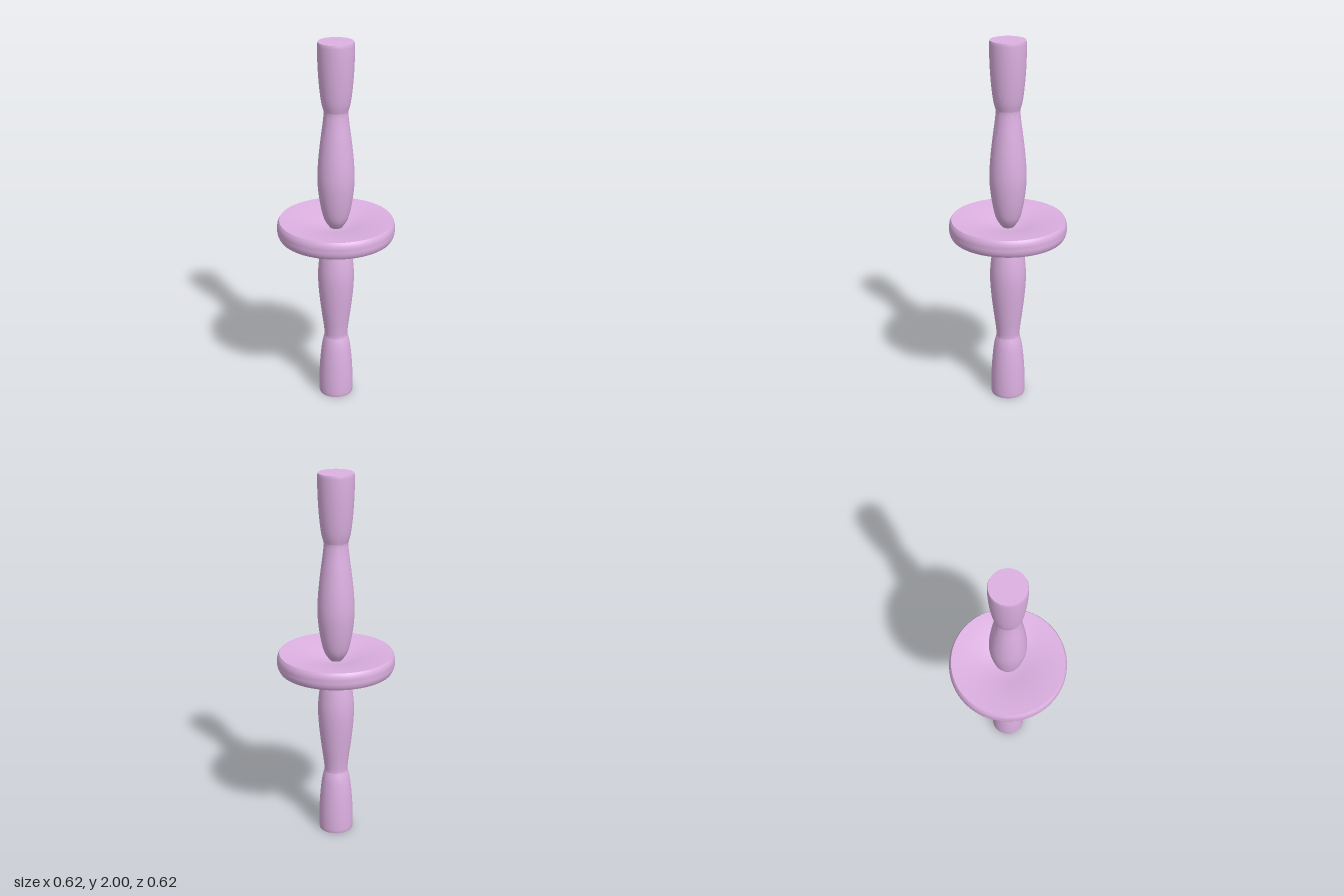
import * as THREE from 'three';
import { toCreasedNormals } from 'three/addons/utils/BufferGeometryUtils.js';

const v = (x, y) => new THREE.Vector2(x, y);

// Smooth run of profile points, given as [radius, height]
function run(points, steps) {
  return new THREE.SplineCurve(points.map(([r, y]) => v(r, y))).getPoints(steps);
}

function turned(name, profile, segments, material) {
  const geometry = toCreasedNormals(new THREE.LatheGeometry(profile, segments), 0.6);
  const mesh = new THREE.Mesh(geometry, material);
  mesh.name = name;
  return mesh;
}

export function createModel() {
  const group = new THREE.Group();
  group.name = 'turnedSpindle';
  const lilac = new THREE.MeshStandardMaterial({ color: 0xdcb0e1 });
  lilac.name = 'lilac';

  // Half of the shaft, heights measured from the middle of the disc
  const belly = run([[0.03, 0], [0.062, 0.05], [0.081, 0.125], [0.093, 0.21], [0.097, 0.285],
    [0.092, 0.38], [0.08, 0.49], [0.068, 0.58], [0.062, 0.64]], 40);
  const grip = run([[0.062, 0.64], [0.075, 0.69], [0.085, 0.77], [0.0915, 0.86],
    [0.094, 0.94], [0.0935, 0.99]], 20);
  const half = [...belly, ...grip.slice(1), v(0.091, 1), v(0, 1)];

  // The lower half mirrors the upper one
  const mirrored = half.map((p) => v(p.x, -p.y)).reverse();
  group.add(turned('upperShaft', half, 48, lilac));
  group.add(turned('lowerShaft', mirrored, 48, lilac));

  // Disc with a bulging rim, both faces dished towards the shaft
  const rim = run([[0.3, -0.046], [0.309, -0.028], [0.3125, 0], [0.309, 0.028], [0.3, 0.046]], 12);
  const dish = run([[0.3, 0.046], [0.25, 0.041], [0.2, 0.034], [0.15, 0.025],
    [0.1, 0.014], [0.07, 0.008], [0.03, 0.003]], 18);
  const underside = dish.map((p) => v(p.x, -p.y)).reverse();
  group.add(turned('disc', [...underside, ...rim.slice(1), ...dish.slice(1)], 72, lilac));

  group.children.forEach((part) => { part.position.y = 1; });
  return group;
}
